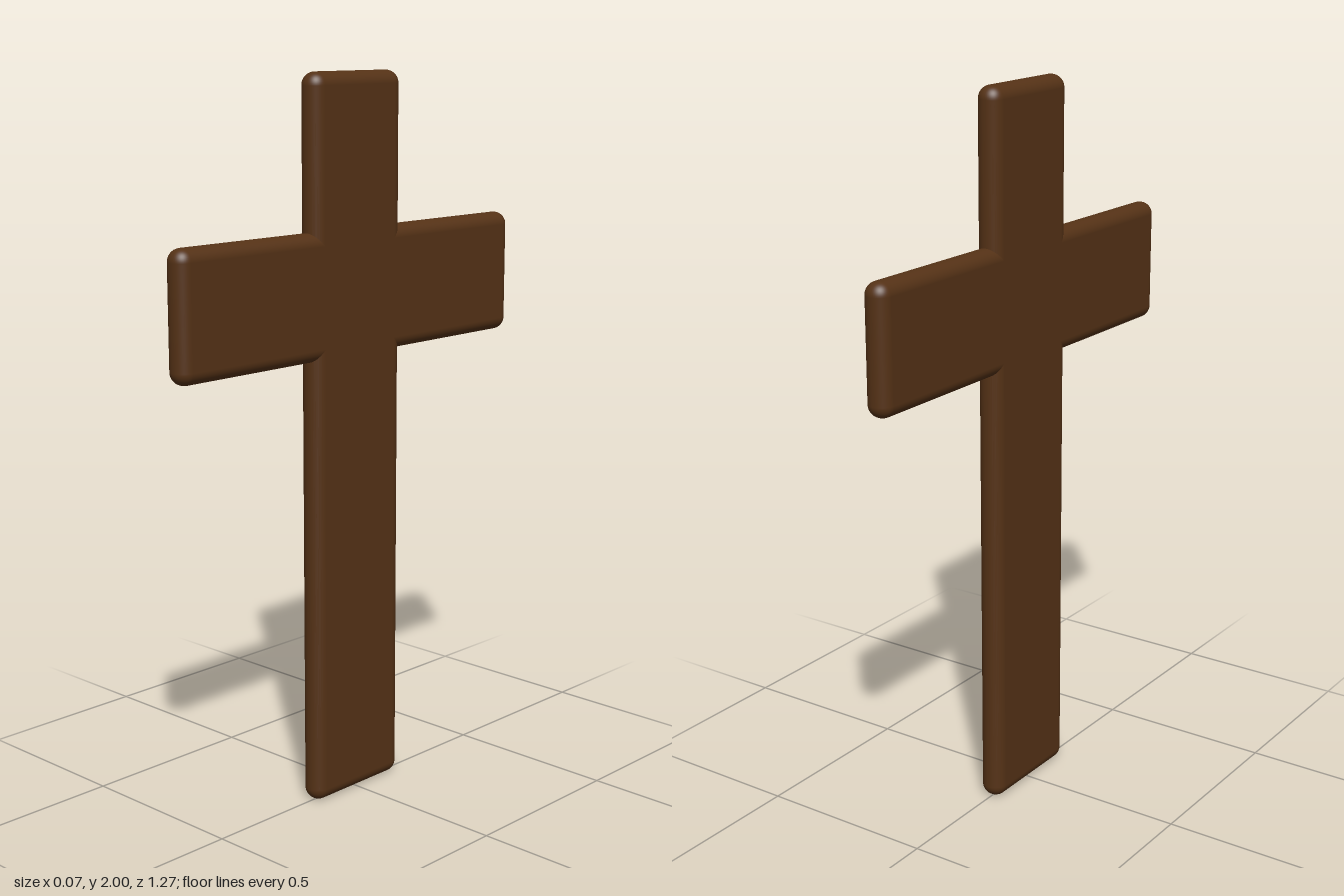
import * as THREE from 'three';
import { RoundedBoxGeometry } from 'three/addons/geometries/RoundedBoxGeometry.js';

const THICKNESS = 0.072;
const wood = new THREE.MeshStandardMaterial({ color: 0x553216 });

// A flat plank lying in the y-z plane with fully rounded edges
function plank(name, height, depth, centreY) {
  const geometry = new RoundedBoxGeometry(THICKNESS, height, depth, 6, THICKNESS / 2 - 0.001);
  const mesh = new THREE.Mesh(geometry, wood);
  mesh.name = name;
  mesh.position.y = centreY;
  return mesh;
}

export function createModel() {
  const cross = new THREE.Group();
  cross.name = 'cross';
  cross.add(plank('upright', 2, 0.336, 1));
  cross.add(plank('crossbar', 0.342, 1.27, 1.417));
  return cross;
}
